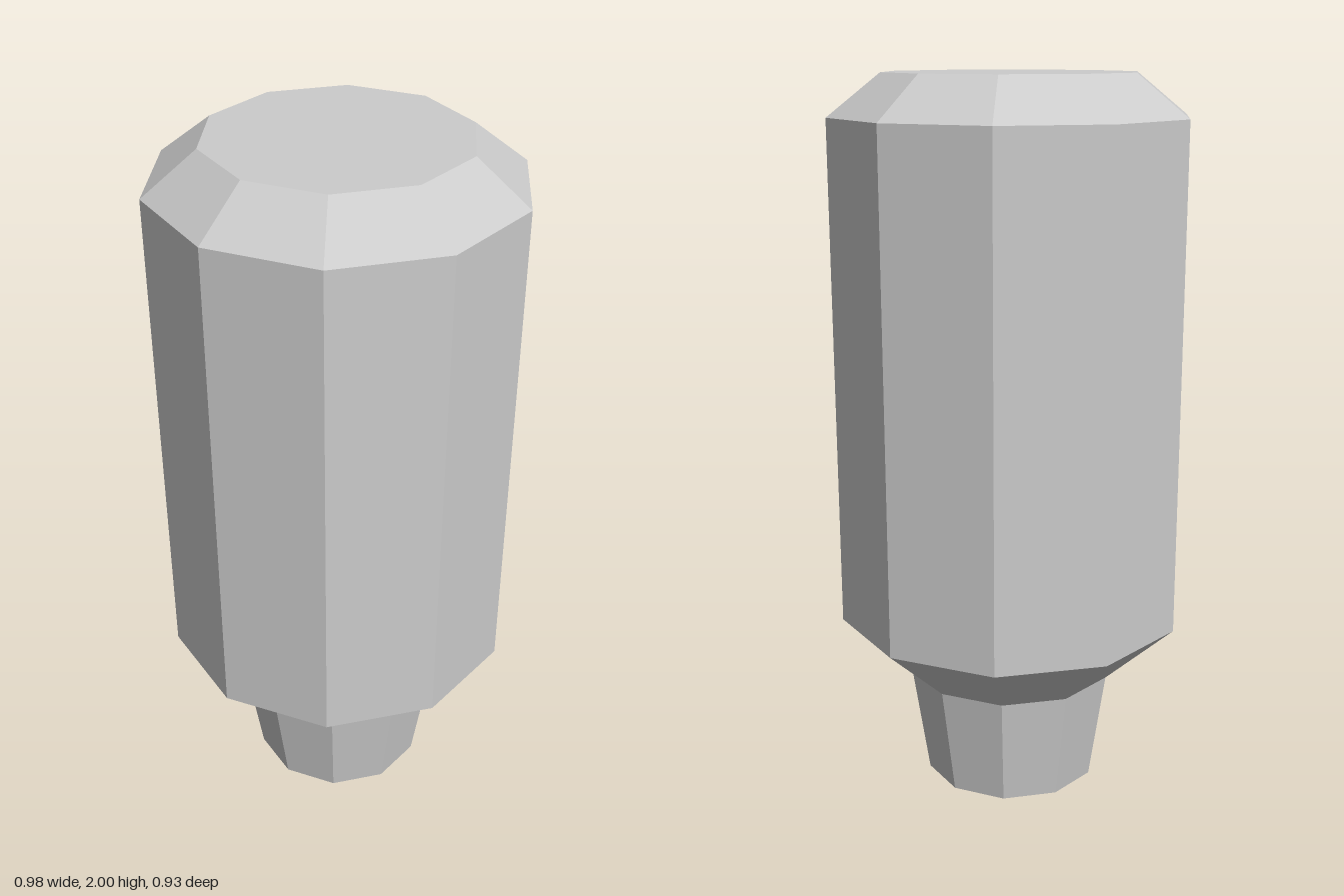
import * as THREE from 'three';

const SIDES = 10;

// Ten-sided turned part from a [radius, height] profile, with corners on the x axis
function turnedPart(name, profile, material) {
  const points = profile.map(([r, y]) => new THREE.Vector2(r, y));
  const mesh = new THREE.Mesh(new THREE.LatheGeometry(points, SIDES, Math.PI / 2), material);
  mesh.name = name;
  return mesh;
}

export function createModel() {
  const group = new THREE.Group();
  group.name = 'facetedBottle';
  const material = new THREE.MeshStandardMaterial({ color: 0xcccccc, flatShading: true });

  // Tapered neck with a closed lower end
  group.add(turnedPart('neck', [[0, 0], [0.247, 0], [0.295, 0.315]], material));

  // Flared shoulder, straight wall, bevelled rim and flat top
  group.add(turnedPart('body', [
    [0.295, 0.315], [0.491, 0.493], [0.491, 1.887], [0.347, 2], [0, 2],
  ], material));

  return group;
}
